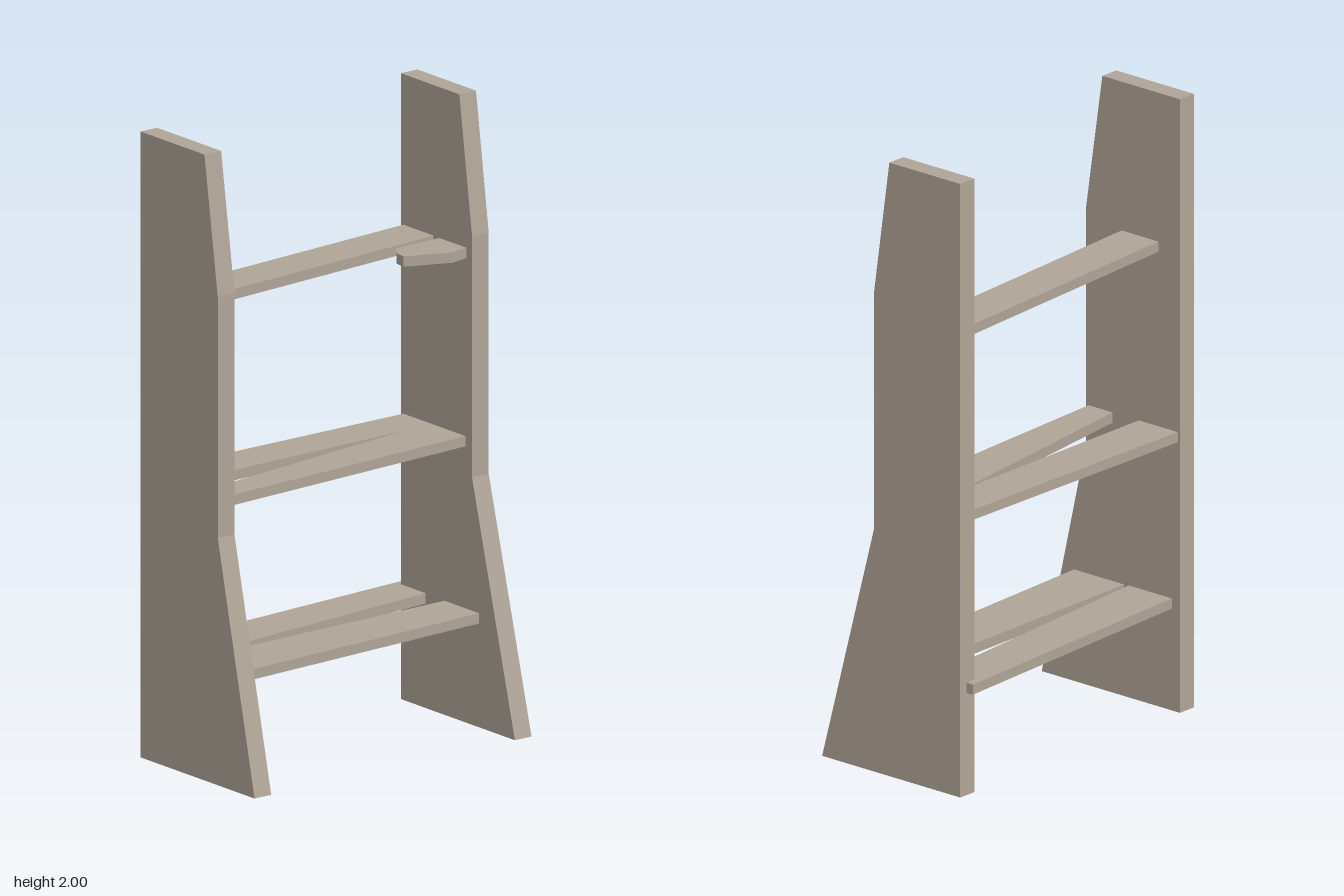
import * as THREE from 'three';

const wood = new THREE.MeshStandardMaterial({ color: 0xb0a497 });
wood.name = 'weatheredWood';

// Prism with the given 2D outline
function prism(points, depth) {
  const shape = new THREE.Shape(points.map(([a, b]) => new THREE.Vector2(a, b)));
  return new THREE.ExtrudeGeometry(shape, { depth, bevelEnabled: false });
}

// Upright side panel: outline in (z, y), thickness along x
function sidePanel(name, outerX, topZ, midZ) {
  const outline = [[-0.27, 0], [0.295, 0], [midZ, 0.79], [midZ, 1.56], [topZ, 2], [-0.27, 2]];
  const geo = prism(outline, 0.065).rotateY(-Math.PI / 2);
  const mesh = new THREE.Mesh(geo, wood);
  mesh.name = name;
  mesh.position.x = outerX;
  return mesh;
}

// Flat board: outline in (x, z), with top height and a slight sideways tilt
function board(name, outline, topY, tilt = 0) {
  const mesh = new THREE.Mesh(prism(outline, 0.033).rotateX(Math.PI / 2), wood);
  mesh.name = name;
  mesh.position.y = topY;
  mesh.rotation.z = tilt;
  return mesh;
}

// Full-length plank from its back and front z at each end
function plank(name, backR, frontR, backL, frontL, topY, tilt) {
  const e = 0.512;
  return board(name, [[-e, backR], [e, backL], [e, frontL], [-e, frontR]], topY, tilt);
}

export function createModel() {
  const model = new THREE.Group();
  model.name = 'brokenShelf';

  model.add(
    sidePanel('leftPanel', 0.54, 0.02, 0.083),
    sidePanel('rightPanel', -0.475, 0.047, 0.113),

    // Crooked planks, two per lower shelf and one on top
    plank('lowerBackPlank', -0.235, -0.058, -0.297, -0.15, 0.366, 0.002),
    plank('lowerFrontPlank', -0.042, 0.164, -0.055, 0.115, 0.364, 0.001),
    plank('middleBackPlank', -0.262, -0.102, -0.257, -0.115, 0.914, 0.002),
    plank('middleFrontPlank', 0.01, 0.105, -0.133, 0.048, 0.914, 0.002),
    plank('upperPlank', -0.18, -0.029, -0.26, -0.11, 1.517, 0.004),

    // Snapped-off remainder of the missing upper plank
    board('brokenPlankStub', [
      [0.512, -0.08], [0.303, -0.072], [0.271, -0.032],
      [0.265, 0.009], [0.411, 0.069], [0.512, 0.046],
    ], 1.518)
  );
  return model;
}
